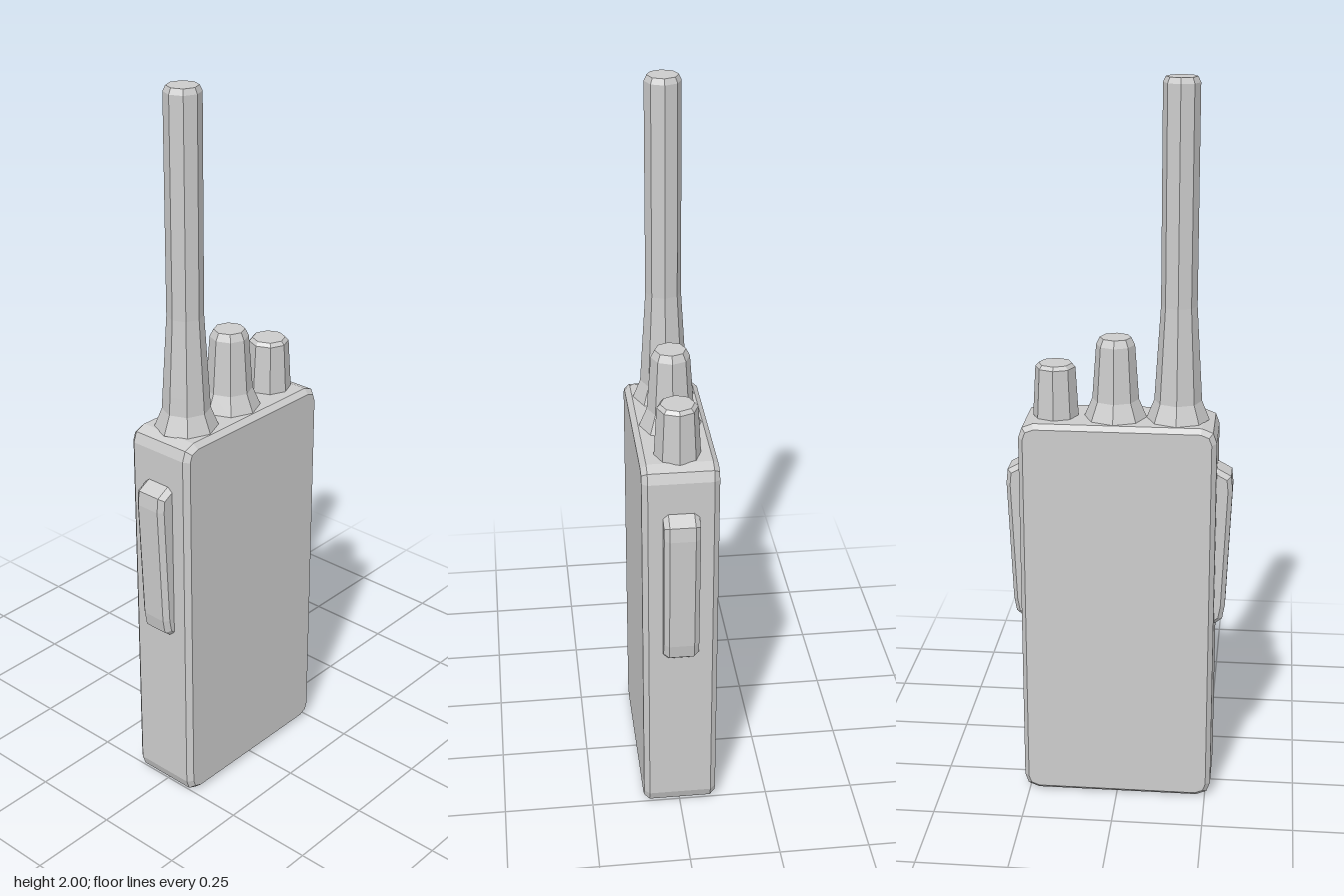
import * as THREE from 'three';

const material = new THREE.MeshStandardMaterial({ color: 0xcccccc, flatShading: true });

// Side profile of [z, y] points, extruded across x with one chamfer on both edges
function slab(name, profile, halfWidth, bevelX, bevelIn) {
  const shape = new THREE.Shape(profile.map(([z, y]) => new THREE.Vector2(z, y)));
  const depth = 2 * (halfWidth - bevelX);
  const geometry = new THREE.ExtrudeGeometry(shape, {
    depth, bevelEnabled: true, bevelSegments: 1,
    bevelThickness: bevelX, bevelSize: bevelIn, bevelOffset: -bevelIn,
  });
  geometry.translate(0, 0, -depth / 2);
  geometry.rotateY(-Math.PI / 2);
  const mesh = new THREE.Mesh(geometry, material);
  mesh.name = name;
  return mesh;
}

// Eight-sided turned part from [radius, y] points
function turned(name, z, profile) {
  const points = profile.map(([r, y]) => new THREE.Vector2(r, y));
  const mesh = new THREE.Mesh(new THREE.LatheGeometry(points, 8), material);
  mesh.name = name;
  mesh.position.z = z;
  return mesh;
}

export function createModel() {
  const model = new THREE.Group();
  model.name = 'handheldRadio';

  // Body with two-step chamfered corners
  const w = 0.265, h = 1.1;
  model.add(slab('body', [
    [w, 0.04], [w, h - 0.04], [w - 0.01, h - 0.012], [w - 0.04, h],
    [-w + 0.04, h], [-w + 0.01, h - 0.012], [-w, h - 0.04],
    [-w, 0.04], [-w + 0.01, 0.012], [-w + 0.04, 0],
    [w - 0.04, 0], [w - 0.01, 0.012],
  ], 0.102, 0.015, 0.013));

  // Tapered grips on the front and back edges
  for (const [name, side] of [['frontGrip', 1], ['backGrip', -1]]) {
    const grip = slab(name, [
      [0.23, 0.515], [0.268, 0.515], [0.287, 0.53], [0.294, 0.57],
      [0.308, 0.91], [0.304, 0.95], [0.268, 0.97], [0.23, 0.97],
    ], 0.048, 0.014, 0.012);
    if (side < 0) grip.rotation.y = Math.PI;
    model.add(grip);
  }

  // Antenna and the two knobs on top
  model.add(turned('antenna', 0.156, [
    [0.085, 1.098], [0.064, 1.15], [0.061, 1.2], [0.048, 1.41],
    [0.048, 1.985], [0.041, 2], [0, 2],
  ]));
  model.add(turned('tallKnob', -0.012, [
    [0.085, 1.098], [0.063, 1.15], [0.052, 1.3], [0.042, 1.32], [0, 1.32],
  ]));
  model.add(turned('shortKnob', -0.174, [
    [0.062, 1.098], [0.054, 1.235], [0.045, 1.245], [0, 1.245],
  ]));

  return model;
}
